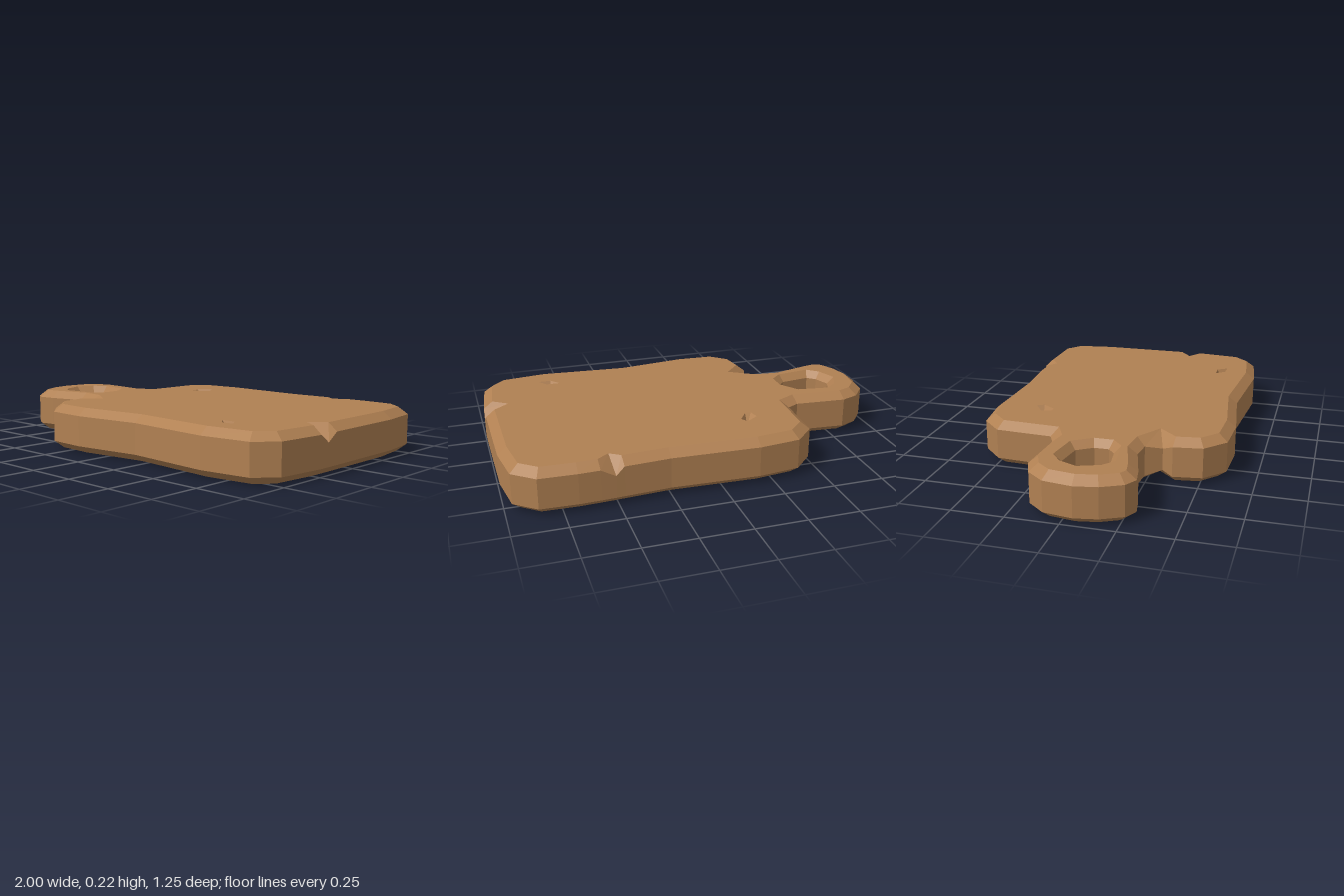
import * as THREE from 'three';

const H = 0.22, BEVEL = 0.036, INSET = 0.045;

// board outline as [x, z], running handle -> back -> right end -> front -> handle
const outline = [
  [-0.82, -0.2], [-0.56, -0.18], [-0.5, -0.21], [-0.485, -0.49], [-0.385, -0.59], [-0.18, -0.615],
  [0.25, -0.6], [0.47, -0.615], [0.51, -0.618], [0.58, -0.622], [0.68, -0.626], [0.86, -0.62],
  [0.965, -0.535], [0.995, -0.33], [1, 0.13], [1, 0.19], [1, 0.245], [0.975, 0.485],
  [0.885, 0.58], [0.64, 0.61], [0.2, 0.575], [-0.15, 0.62], [-0.355, 0.61], [-0.46, 0.515],
  [-0.48, 0.375], [-0.46, 0.325], [-0.505, 0.25], [-0.6, 0.24], [-0.785, 0.29], [-0.87, 0.305],
  [-0.93, 0.27], [-0.98, 0.17], [-1, 0.06], [-0.98, -0.08], [-0.91, -0.165],
];

// chips in the rim: outline index, inner tip on the face, depth of the cut, cut on the underside too
const notches = [
  { i: 8, tip: [0.525, -0.535], drop: 0.04 },
  { i: 15, tip: [0.88, 0.19], drop: 0.04 },
  { i: 25, tip: [-0.35, 0.29], drop: 0.02, both: true },
];

// hanging hole, running the opposite way round
const hole = [
  [-0.84, 0.04], [-0.81, -0.03], [-0.765, -0.065], [-0.63, -0.045], [-0.58, 0.03],
  [-0.58, 0.1], [-0.62, 0.135], [-0.77, 0.155], [-0.81, 0.12],
].reverse();

// small gouges in both faces
const dents = [
  { rim: [[-0.265, -0.345], [-0.2, -0.39], [-0.18, -0.355], [-0.225, -0.29], [-0.255, -0.29]], tip: [-0.215, -0.35] },
  { rim: [[0.58, 0.4], [0.65, 0.4], [0.685, 0.45], [0.62, 0.45]], tip: [0.635, 0.418] },
];

// move every corner inward along its mitre
function offset(points, d) {
  const n = points.length;
  return points.map((p, i) => {
    const a = points[(i + n - 1) % n], b = points[(i + 1) % n];
    const normal = (u, v) => new THREE.Vector2(u[1] - v[1], v[0] - u[0]).normalize();
    const n1 = normal(a, p), n2 = normal(p, b);
    const m = n1.clone().add(n2).multiplyScalar(d / Math.max(0.5, 1 + n1.dot(n2)));
    return [p[0] + m.x, p[1] + m.y];
  });
}

const ring = (points, y) => points.map(([x, z]) => new THREE.Vector3(x, y, z));

function createBoardGeometry() {
  const verts = [];
  const tri = (a, b, c) => {
    const area = b.clone().sub(a).cross(c.clone().sub(a)).length();
    if (area > 1e-9) for (const p of [a, b, c]) verts.push(p.x, p.y, p.z);
  };
  const loft = (lower, upper) => lower.forEach((a, i) => {
    const j = (i + 1) % lower.length;
    tri(a, upper[i], lower[j]);
    tri(upper[i], upper[j], lower[j]);
  });
  const cap = (contour, holes, up) => {
    const all = [contour, ...holes].flat();
    const flat = (r) => r.map((p) => new THREE.Vector2(p.x, p.z));
    for (const f of THREE.ShapeUtils.triangulateShape(flat(contour), holes.map(flat))) {
      const [a, b, c] = f.map((k) => all[k]);
      const facesUp = b.clone().sub(a).cross(c.clone().sub(a)).y > 0;
      if (facesUp === up) tri(a, b, c); else tri(a, c, b);
    }
  };
  // four levels: underside, lower shoulder, upper shoulder, top
  const levels = (points) => {
    const inner = offset(points, INSET * (points === hole ? 0.72 : 1));
    return [ring(inner, 0), ring(points, BEVEL), ring(points, H - BEVEL), ring(inner, H)];
  };

  const outer = levels(outline);
  for (const { i, tip, drop, both } of notches) {
    outer[3][i].set(tip[0], H, tip[1]);
    outer[2][i].y -= drop;
    if (both) {
      outer[0][i].set(tip[0], 0, tip[1]);
      outer[1][i].y += drop;
    }
  }
  const inner = levels(hole);
  for (const r of [outer, inner]) for (let k = 0; k < 3; k++) loft(r[k], r[k + 1]);

  // gouges taper to a point inside the wood
  const topHoles = [inner[3]], bottomHoles = [inner[0]];
  for (const { rim, tip } of dents) {
    const edge = [...rim].reverse(), tips = edge.map(() => tip);
    const top = ring(edge, H), bottom = ring(edge, 0);
    loft(ring(tips, H - 0.045), top);
    loft(bottom, ring(tips, 0.045));
    topHoles.push(top);
    bottomHoles.push(bottom);
  }
  cap(outer[3], topHoles, true);
  cap(outer[0], bottomHoles, false);

  const geometry = new THREE.BufferGeometry();
  geometry.setAttribute('position', new THREE.Float32BufferAttribute(verts, 3));
  geometry.computeVertexNormals();
  return geometry;
}

export function createModel() {
  const group = new THREE.Group();
  group.name = 'cuttingBoard';
  const wood = new THREE.MeshStandardMaterial({ color: 0xb08052, flatShading: true });
  const board = new THREE.Mesh(createBoardGeometry(), wood);
  board.name = 'boardWithHandle';
  group.add(board);
  return group;
}
